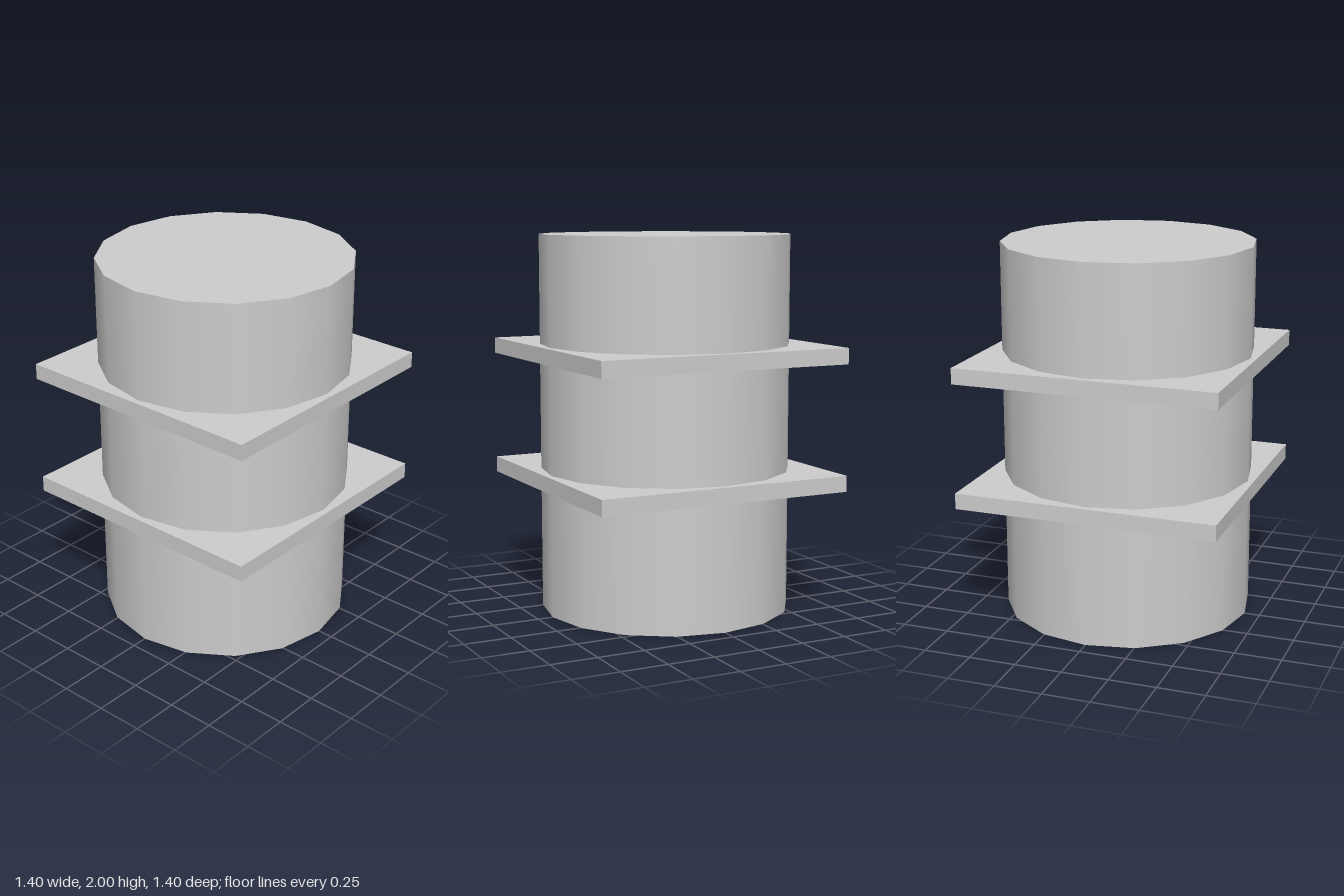
import * as THREE from 'three';

export function createModel() {
  const model = new THREE.Group();
  const grey = new THREE.MeshStandardMaterial({ color: 0xcccccc });
  grey.name = 'light grey';

  function add(name, geometry, y) {
    const mesh = new THREE.Mesh(geometry, grey);
    mesh.name = name;
    mesh.position.y = y;
    model.add(mesh);
  }

  // Sixteen-sided drum with smooth walls and flat caps
  add('drum', new THREE.CylinderGeometry(0.667, 0.667, 2, 16), 1);

  // Two thin square plates around the drum
  const plate = new THREE.BoxGeometry(1.4, 0.085, 1.4);
  add('lowerPlate', plate, 0.714);
  add('upperPlate', plate, 1.381);

  return model;
}
